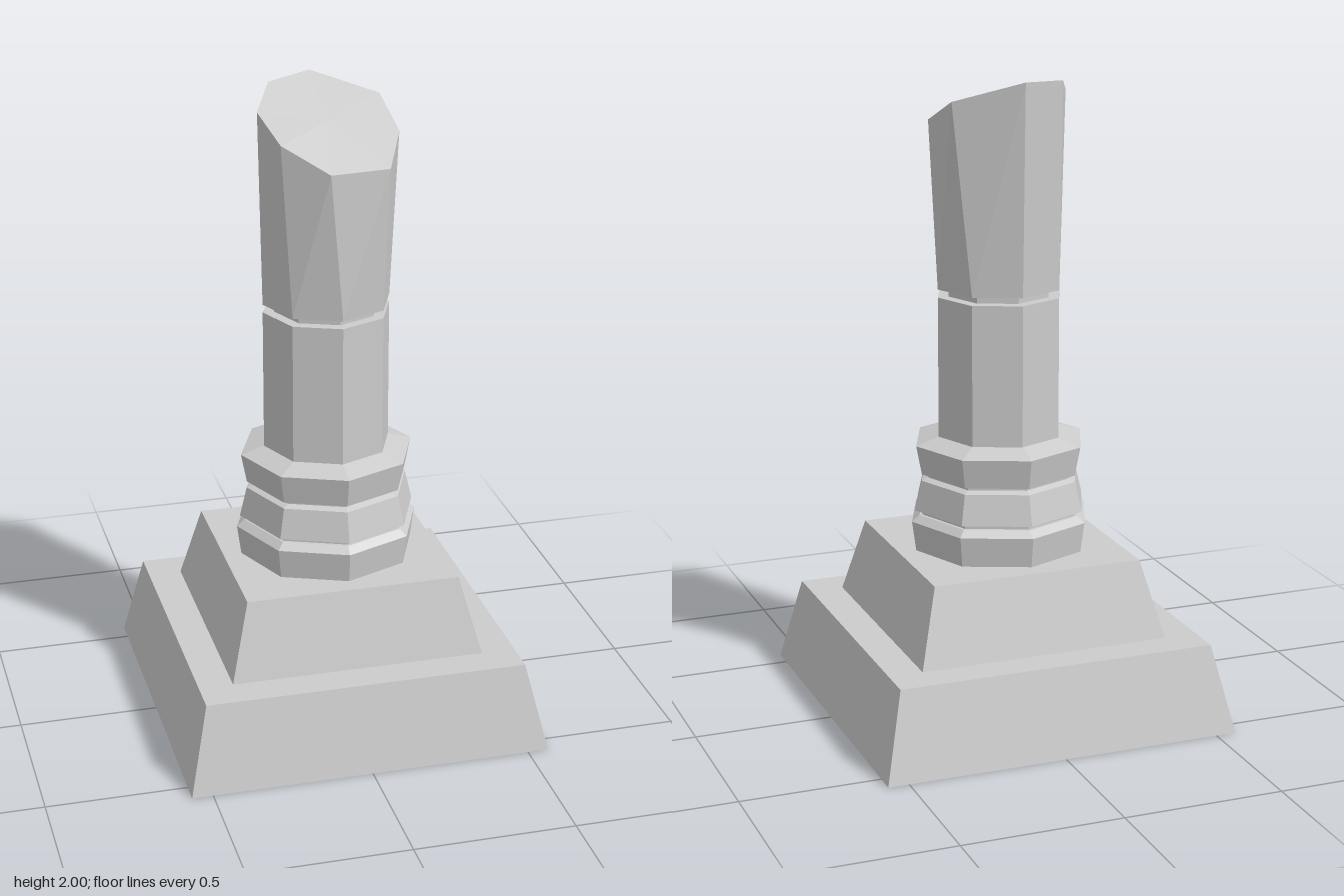
import * as THREE from 'three';

const material = new THREE.MeshStandardMaterial({ color: 0xcccccc, flatShading: true });

function addMesh(group, name, geometry) {
  const mesh = new THREE.Mesh(geometry, material);
  mesh.name = name;
  group.add(mesh);
  return mesh;
}

// Faceted solid of revolution from [radius, height] pairs, listed bottom to top
function turned(profile, sides) {
  const points = profile.map(([r, y]) => new THREE.Vector2(r, y));
  return new THREE.LatheGeometry(points, sides);
}

// Octagonal shaft that flares into an irregular slanted break
function brokenShaft(y0, radius, rim) {
  const n = rim.length;
  const top = rim.map((p) => new THREE.Vector3(...p));
  const bottom = rim.map((_, i) => {
    const a = (i / n) * Math.PI * 2;
    return new THREE.Vector3(Math.sin(a) * radius, y0, Math.cos(a) * radius);
  });
  const topCentre = new THREE.Vector3();
  top.forEach((p) => topCentre.addScaledVector(p, 1 / n));
  const bottomCentre = new THREE.Vector3(0, y0, 0);
  const corners = [];
  for (let i = 0; i < n; i++) {
    const j = (i + 1) % n;
    corners.push(bottom[i], bottom[j], top[j], bottom[i], top[j], top[i]);
    corners.push(topCentre, top[i], top[j], bottomCentre, bottom[j], bottom[i]);
  }
  const geometry = new THREE.BufferGeometry().setFromPoints(corners);
  geometry.computeVertexNormals();
  return geometry;
}

export function createModel() {
  const model = new THREE.Group();
  model.name = 'brokenColumn';

  // Two-tier square plinth; half-widths become corner radii
  const tiers = [[0, 0], [0.565, 0], [0.503, 0.275], [0.397, 0.275], [0.335, 0.517], [0, 0.517]];
  const plinth = addMesh(model, 'plinth', turned(tiers.map(([r, y]) => [r * Math.SQRT2, y]), 4));
  plinth.rotation.y = Math.PI / 4;

  // Stacked octagonal base mouldings with narrow grooves
  addMesh(model, 'baseMouldings', turned([
    [0.277, 0.517], [0.29, 0.612], [0.265, 0.632], [0.255, 0.632], [0.255, 0.648],
    [0.28, 0.648], [0.257, 0.742], [0.235, 0.75], [0.235, 0.762], [0.256, 0.762],
    [0.274, 0.855], [0.2, 0.878],
  ], 8));

  // Straight lower shaft and the recessed joint above it
  addMesh(model, 'lowerShaft', turned([[0.2, 0.87], [0.2, 1.32], [0, 1.32]], 8));
  addMesh(model, 'shaftJoint', turned([[0.165, 1.315], [0.165, 1.35]], 8));

  // Upper shaft with the slanted top, rim running from the front towards +x
  addMesh(model, 'upperShaft', brokenShaft(1.345, 0.2, [
    [-0.04, 1.805, 0.21], [0.15, 1.8, 0.175], [0.222, 1.865, 0.015], [0.205, 1.94, -0.145],
    [0.01, 2, -0.243], [-0.135, 1.99, -0.175], [-0.204, 1.94, -0.03], [-0.17, 1.88, 0.125],
  ]));

  return model;
}
